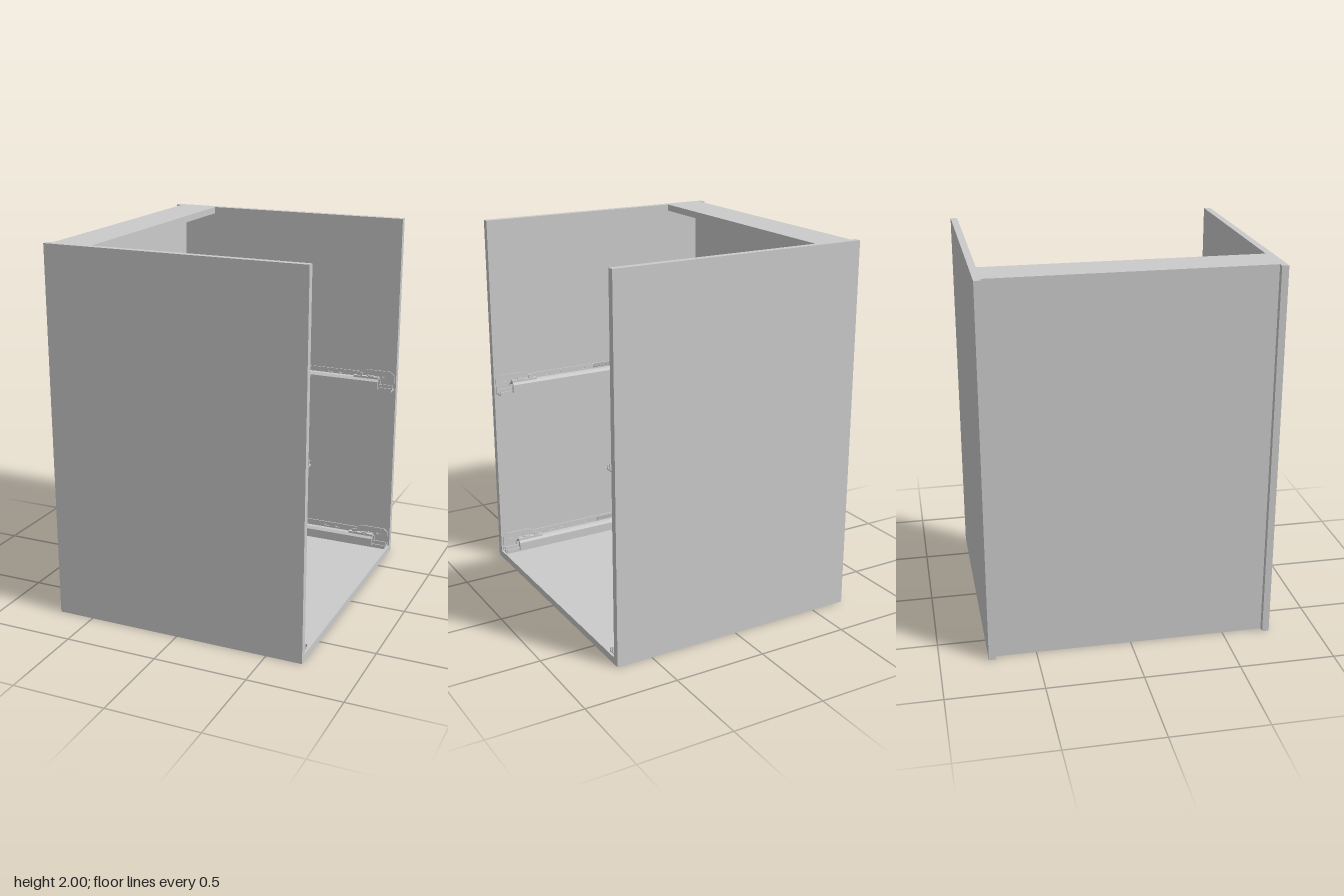
import * as THREE from 'three';

const grey = new THREE.MeshStandardMaterial({ color: 0xcccccc });

export function createModel() {
  const model = new THREE.Group();
  model.name = 'drawerCabinet';

  const add = (parent, name, geometry) => {
    const mesh = new THREE.Mesh(geometry, grey);
    mesh.name = name;
    parent.add(mesh);
    return mesh;
  };

  // Box given by its limits on each axis
  const box = (parent, name, [x0, x1], [y0, y1], [z0, z1]) =>
    add(parent, name, new THREE.BoxGeometry(x1 - x0, y1 - y0, Math.abs(z1 - z0)))
      .position.set((x0 + x1) / 2, (y0 + y1) / 2, (z0 + z1) / 2);

  // Cross-section of [z, y] points swept along x; side mirrors it in z
  const bar = (parent, name, x0, x1, profile, side) => {
    const shape = new THREE.Shape(profile.map(([z, y]) => new THREE.Vector2(-z * side, y)));
    const geometry = new THREE.ExtrudeGeometry(shape, { depth: x1 - x0, bevelEnabled: false });
    geometry.rotateY(Math.PI / 2).translate(x0, 0, 0);
    add(parent, name, geometry);
  };

  // Carcass, open towards +x, with the back set in between the side panels
  for (const side of [1, -1]) {
    box(model, side > 0 ? 'frontPanel' : 'rearPanel', [-0.695, 0.695], [0, 2], [0.714 * side, 0.75 * side]);
  }
  box(model, 'bottomPanel', [-0.665, 0.695], [0, 0.038], [-0.714, 0.714]);
  box(model, 'recessedPanel', [-0.665, -0.635], [0.038, 2], [-0.714, 0.714]);
  box(model, 'topStretcher', [-0.635, -0.445], [1.964, 2], [-0.714, 0.714]);

  // Drawer runners: heights are measured from the underside of each runner
  const makeRunner = (side) => {
    const runner = new THREE.Group();
    runner.name = 'drawerRunner';

    // Slotted plate screwed to the wall, stepped up at its open end
    const plate = new THREE.Shape([
      [-0.445, 0], [0.685, 0], [0.685, 0.085], [0.66, 0.105], [0.52, 0.105],
      [0.49, 0.09], [-0.445, 0.09],
    ].map(([x, y]) => new THREE.Vector2(x, y)));
    for (const x of [-0.36, -0.2, -0.12, 0.06, 0.14, 0.3, 0.37, 0.58, 0.63]) {
      const slot = new THREE.Path();
      slot.absellipse(x, 0.072, 0.018, 0.007, 0, Math.PI * 2, true);
      plate.holes.push(slot);
    }
    const plateGeometry = new THREE.ExtrudeGeometry(plate, { depth: 0.006, bevelEnabled: false, curveSegments: 6 });
    plateGeometry.translate(0, 0, side > 0 ? 0.708 : -0.714);
    add(runner, 'wallPlate', plateGeometry);

    // Ledge folded out from the plate, with an upright lip
    bar(runner, 'ledge', -0.445, 0.685, [
      [0.71, 0], [0.71, 0.006], [0.68, 0.006], [0.68, 0.035], [0.674, 0.035],
      [0.674, 0.006], [0.656, 0.006], [0.656, 0.022], [0.65, 0.022], [0.65, 0],
    ], side);

    // Sliding member: folded sheet open underneath
    bar(runner, 'slidingMember', -0.31, 0.61, [
      [0.69, 0.03], [0.69, 0.055], [0.672, 0.072], [0.648, 0.072], [0.634, 0.058], [0.634, 0.014],
      [0.65, 0.014], [0.65, 0.02], [0.64, 0.02], [0.64, 0.055], [0.65, 0.066],
      [0.67, 0.066], [0.684, 0.052], [0.684, 0.03],
    ], side);
    bar(runner, 'middleMember', -0.445, 0.6, [
      [0.675, 0.014], [0.675, 0.048], [0.655, 0.048], [0.655, 0.014],
    ], side);

    // Hooked strip standing on the sliding member
    bar(runner, 'hookStrip', -0.24, 0.085, [
      [0.675, 0.066], [0.675, 0.085], [0.664, 0.09], [0.66, 0.106],
      [0.656, 0.106], [0.66, 0.086], [0.669, 0.081], [0.669, 0.066],
    ], side);

    // Latch at the open end and small stop on the plate
    box(runner, 'latch', [0.46, 0.61], [0.07, 0.082], [0.646 * side, 0.667 * side]);
    box(runner, 'latchTab', [0.48, 0.51], [0.082, 0.1], [0.652 * side, 0.658 * side]);
    box(runner, 'latchPin', [0.54, 0.575], [0.082, 0.088], [0.65 * side, 0.662 * side]);
    box(runner, 'stop', [-0.02, 0.03], [0.035, 0.05], [0.68 * side, 0.688 * side]);
    return runner;
  };

  for (const height of [0.04, 1.016]) {
    for (const side of [1, -1]) {
      const runner = makeRunner(side);
      runner.position.y = height;
      model.add(runner);
    }
  }
  return model;
}
